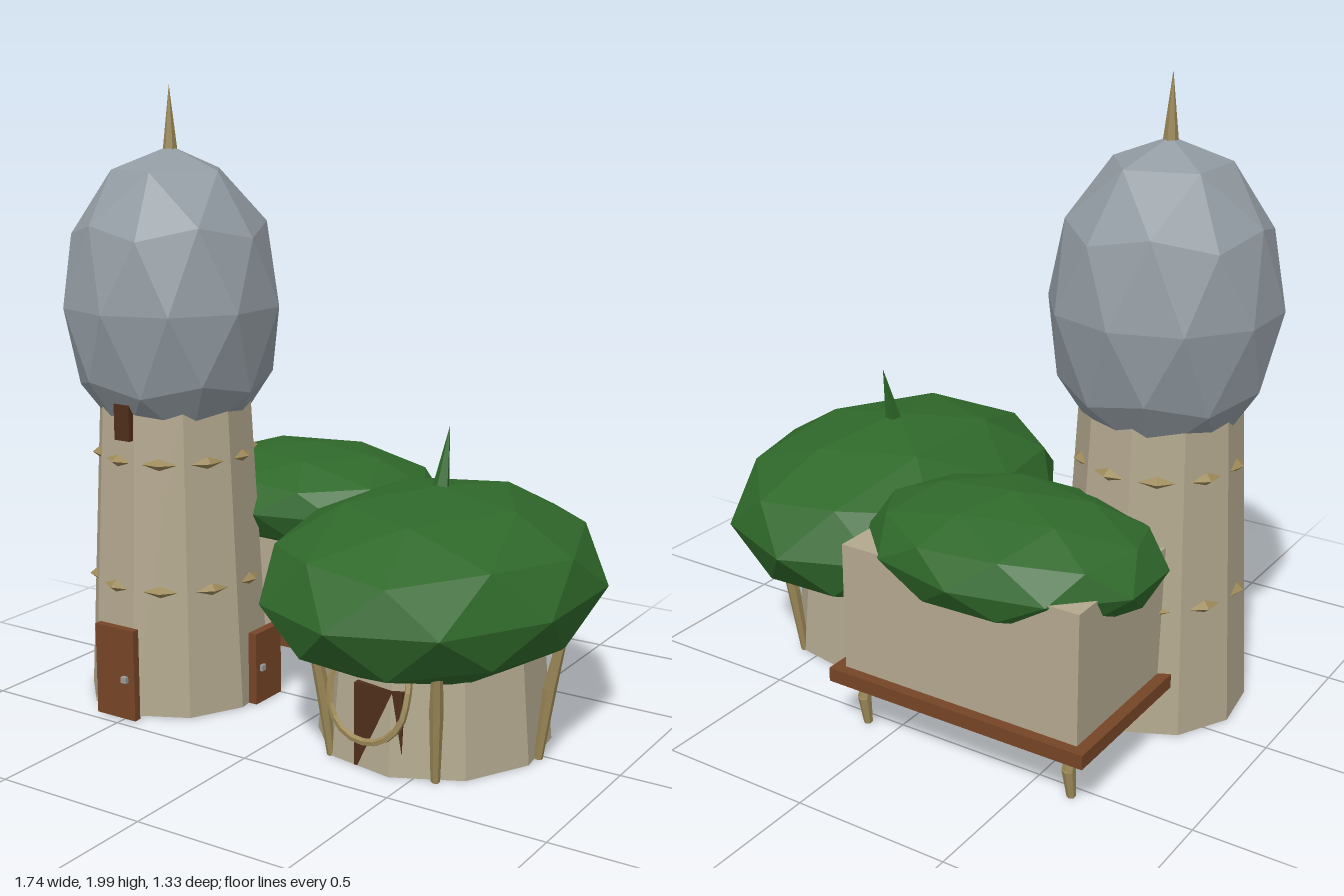
import * as THREE from 'three';

const mat = (name, color) => {
  const m = new THREE.MeshStandardMaterial({ color, flatShading: true });
  m.name = name;
  return m;
};

export function createModel() {
  const root = new THREE.Group();
  const stone = mat('stone', 0xb3a88f);
  const slate = mat('slate', 0x929ba2);
  const leaf = mat('leaf', 0x2f682a);
  const horn = mat('horn', 0x9c8958);
  const wood = mat('wood', 0x764526);
  const darkWood = mat('darkWood', 0x4f2d1a);
  const metal = mat('metal', 0x9a9a9a);

  const add = (name, geo, material, x, y, z, parent = root) => {
    const m = new THREE.Mesh(geo, material);
    m.name = name;
    m.position.set(x, y, z);
    parent.add(m);
    return m;
  };
  const box = (name, material, w, h, d, x, y, z) =>
    add(name, new THREE.BoxGeometry(w, h, d), material, x, y, z);

  // Faceted ellipsoid with a vertex on each pole
  const dome = (name, material, rx, ry, rz, x, y, z) => {
    const g = new THREE.IcosahedronGeometry(1, 1);
    g.rotateZ(Math.atan(2 / (1 + Math.sqrt(5))));
    g.rotateY(Math.PI);
    g.scale(rx, ry, rz);
    g.computeVertexNormals();
    return add(name, g, material, x, y, z);
  };

  // Tapered round bar between two points
  const bar = (name, material, a, b, ra, rb, sides = 6) => {
    const p = new THREE.Vector3(...a), q = new THREE.Vector3(...b);
    const dir = q.clone().sub(p);
    const mid = p.clone().add(q).multiplyScalar(0.5);
    const m = add(name, new THREE.CylinderGeometry(rb, ra, dir.length(), sides), material, mid.x, mid.y, mid.z);
    m.quaternion.setFromUnitVectors(new THREE.Vector3(0, 1, 0), dir.normalize());
    return m;
  };

  // Post made of two slightly bent segments
  const post = (name, a, m, b) => {
    bar(name, horn, a, m, 0.014, 0.021);
    bar(name, horn, m, b, 0.021, 0.013);
  };

  // Ten-sided tapered wall
  const yaw = THREE.MathUtils.degToRad(8);
  const wall = (name, rBottom, rTop, h, x, z) => {
    const m = add(name, new THREE.CylinderGeometry(rTop, rBottom, h, 10), stone, x, 0.01 + h / 2, z);
    m.rotation.y = yaw;
  };

  // Tower
  const tx = -0.535, tz = 0.13;
  wall('towerWall', 0.302, 0.247, 1.05, tx, tz);
  dome('towerDome', slate, 0.357, 0.5, 0.357, tx, 1.31, tz);
  bar('towerSpire', horn, [tx, 1.79, tz], [tx, 2.0, tz], 0.024, 0, 6);

  // Two rings of studs, one stud on each wall face
  for (const y of [0.42, 0.83]) {
    const r = (0.302 - 0.0524 * y) * Math.cos(Math.PI / 10);
    for (let i = 0; i < 10; i++) {
      const a = yaw + ((i + 0.5) * Math.PI) / 5;
      const g = new THREE.OctahedronGeometry(1, 0);
      g.scale(0.058, 0.02, 0.025);
      add('towerStud', g, horn, tx + r * Math.sin(a), y, tz + r * Math.cos(a)).rotation.y = a;
    }
  }

  // Tower doors, knobs and window
  box('frontDoor', wood, 0.155, 0.3, 0.025, tx + 0.002, 0.16, 0.452);
  box('frontDoorKnob', metal, 0.02, 0.02, 0.02, -0.49, 0.145, 0.468);
  box('sideDoor', wood, 0.03, 0.24, 0.14, -0.228, 0.13, 0.07);
  box('sideDoorKnob', metal, 0.02, 0.02, 0.02, -0.212, 0.13, 0.11);
  box('towerWindow', darkWood, 0.06, 0.115, 0.06, tx, 0.962, 0.37);

  // Round hut
  const hx = 0.385, hz = 0.022;
  wall('hutWall', 0.365, 0.322, 0.5, hx, hz);
  dome('hutRoof', leaf, 0.51, 0.285, 0.637, hx, 0.52, hz);
  bar('hutRoofSpike', leaf, [hx, 0.775, 0.002], [hx, 0.98, -0.055], 0.03, 0, 5);
  box('hutDoor', darkWood, 0.165, 0.26, 0.03, hx, 0.14, 0.347);

  // Leaning posts around the hut
  for (let i = 0; i < 6; i++) {
    const a = (i * Math.PI) / 3;
    const at = (r, y) => [hx + r * Math.cos(a), y, hz + r * Math.sin(a)];
    post('hutPost', at(0.36, 0.01), at(0.392, 0.24), at(0.438, 0.45));
  }

  // Hanging hoop over the hut door
  const hoop = new THREE.CatmullRomCurve3([
    [-0.12, 0.37, 0.36], [-0.13, 0.29, 0.39], [-0.115, 0.2, 0.41], [-0.06, 0.145, 0.42], [0, 0.13, 0.42],
    [0.06, 0.145, 0.42], [0.115, 0.2, 0.41], [0.13, 0.29, 0.39], [0.12, 0.37, 0.36],
  ].map(([x, y, z]) => new THREE.Vector3(hx + x, y, hz + z)));
  add('doorHoop', new THREE.TubeGeometry(hoop, 16, 0.011, 5), horn, 0, 0, 0);

  // Raised rear house on its platform
  box('platform', wood, 0.895, 0.045, 0.63, -0.268, 0.193, -0.315);
  box('houseWall', stone, 0.82, 0.415, 0.56, -0.268, 0.42, -0.315);
  dome('houseRoof', leaf, 0.49, 0.18, 0.36, -0.285, 0.62, -0.312);
  for (const x of [-0.635, 0.1]) {
    post('platformPost', [x, 0.01, -0.545], [x + 0.006, 0.1, -0.553], [x, 0.18, -0.54]);
  }

  return root;
}
